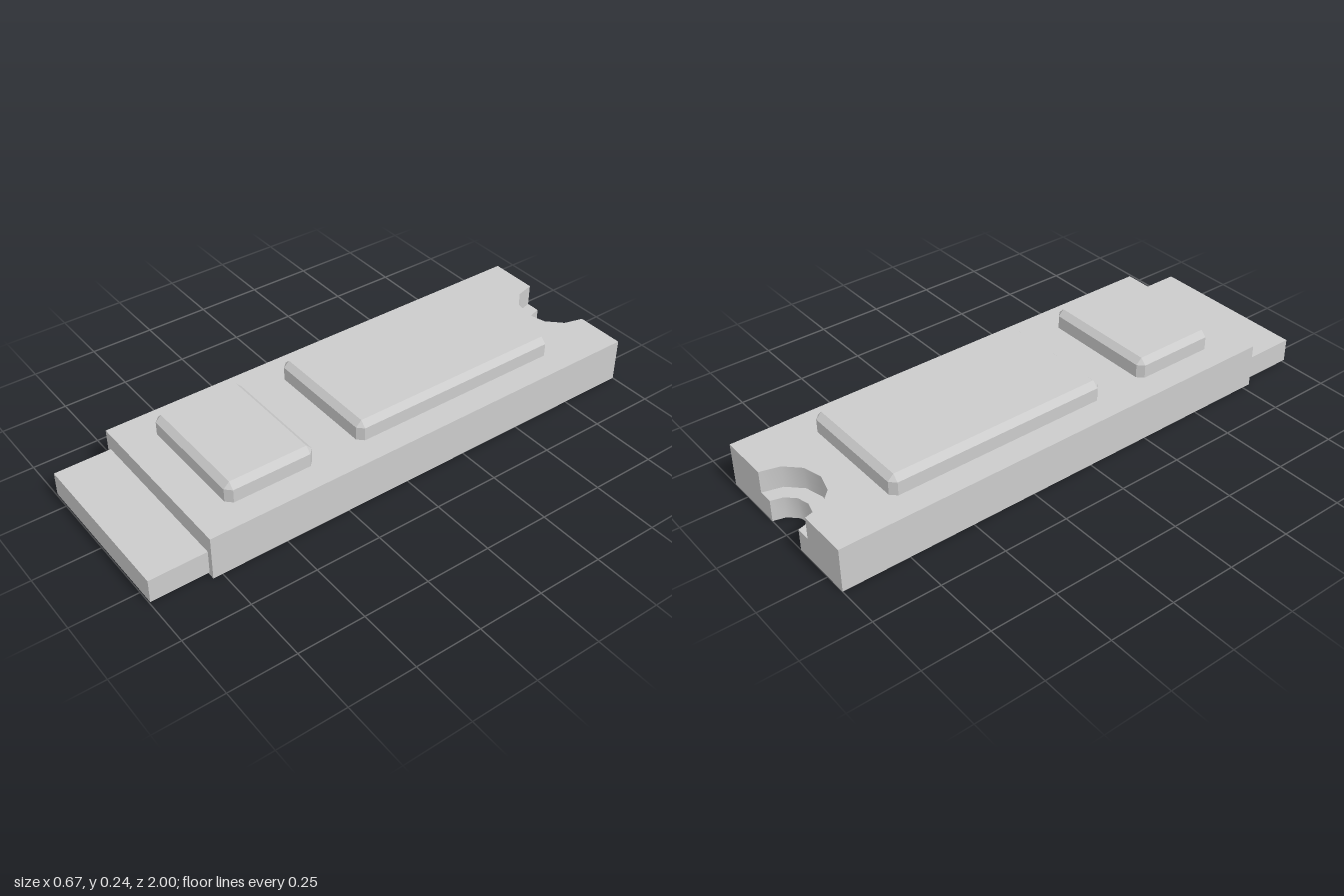
import * as THREE from 'three';
import { toCreasedNormals } from 'three/addons/utils/BufferGeometryUtils.js';
import { ConvexGeometry } from 'three/addons/geometries/ConvexGeometry.js';

const material = new THREE.MeshStandardMaterial({ color: 0xcccccc });
const BOARD = { halfWidth: 0.335, front: 0.785, back: -1, height: 0.168 };

function part(name, geometry) {
  const mesh = new THREE.Mesh(geometry, material);
  mesh.name = name;
  return mesh;
}

// Half circle about the middle of the back edge, from right to left in the outline
function notchArc(radius) {
  return Array.from({ length: 7 }, (_, i) => {
    const a = (-i * Math.PI) / 6;
    return new THREE.Vector2(radius * Math.cos(a), -BOARD.back + radius * Math.sin(a));
  });
}

// Upright slab from a plan outline (outline y points to the back)
function slab(points, height) {
  const geometry = new THREE.ExtrudeGeometry(new THREE.Shape(points), { depth: height, bevelEnabled: false });
  geometry.rotateX(-Math.PI / 2);
  return toCreasedNormals(geometry, 0.6);
}

// Block with chamfered top edges and chamfered upright corners
function chamferedBlock(halfX, zBack, zFront, y0, y1, c) {
  const points = [];
  const zMid = (zBack + zFront) / 2;
  const halfZ = (zFront - zBack) / 2;
  for (const sx of [-1, 1]) {
    for (const sz of [-1, 1]) {
      for (const y of [y0, y1 - c]) {
        points.push(new THREE.Vector3(sx * halfX, y, zMid + sz * (halfZ - c)));
        points.push(new THREE.Vector3(sx * (halfX - c), y, zMid + sz * halfZ));
      }
      points.push(new THREE.Vector3(sx * (halfX - c), y1, zMid + sz * (halfZ - c)));
    }
  }
  return new ConvexGeometry(points);
}

export function createModel() {
  const group = new THREE.Group();
  group.name = 'circuitModule';
  const { halfWidth: w, front, back, height } = BOARD;

  // Board with a stepped screw notch in the back edge
  const outer = notchArc(0.145);
  const inner = notchArc(0.09);
  group.add(part('board', slab([
    new THREE.Vector2(-w, -front),
    new THREE.Vector2(w, -front),
    new THREE.Vector2(w, -back),
    ...outer,
    new THREE.Vector2(-w, -back),
  ], height)));
  group.add(part('screwLedge', slab([...[...outer].reverse(), ...inner], height / 2)));

  // Edge connector at the front
  const connector = part('edgeConnector', new THREE.BoxGeometry(0.628, 0.09, 1 - front));
  connector.position.set(0, 0.055, (1 + front) / 2);
  group.add(connector);

  // Raised chips on top
  group.add(part('largeChip', chamferedBlock(0.235, -0.738, 0.131, height, 0.241, 0.022)));
  group.add(part('smallChip', chamferedBlock(0.235, 0.312, 0.655, height, 0.241, 0.022)));

  return group;
}
